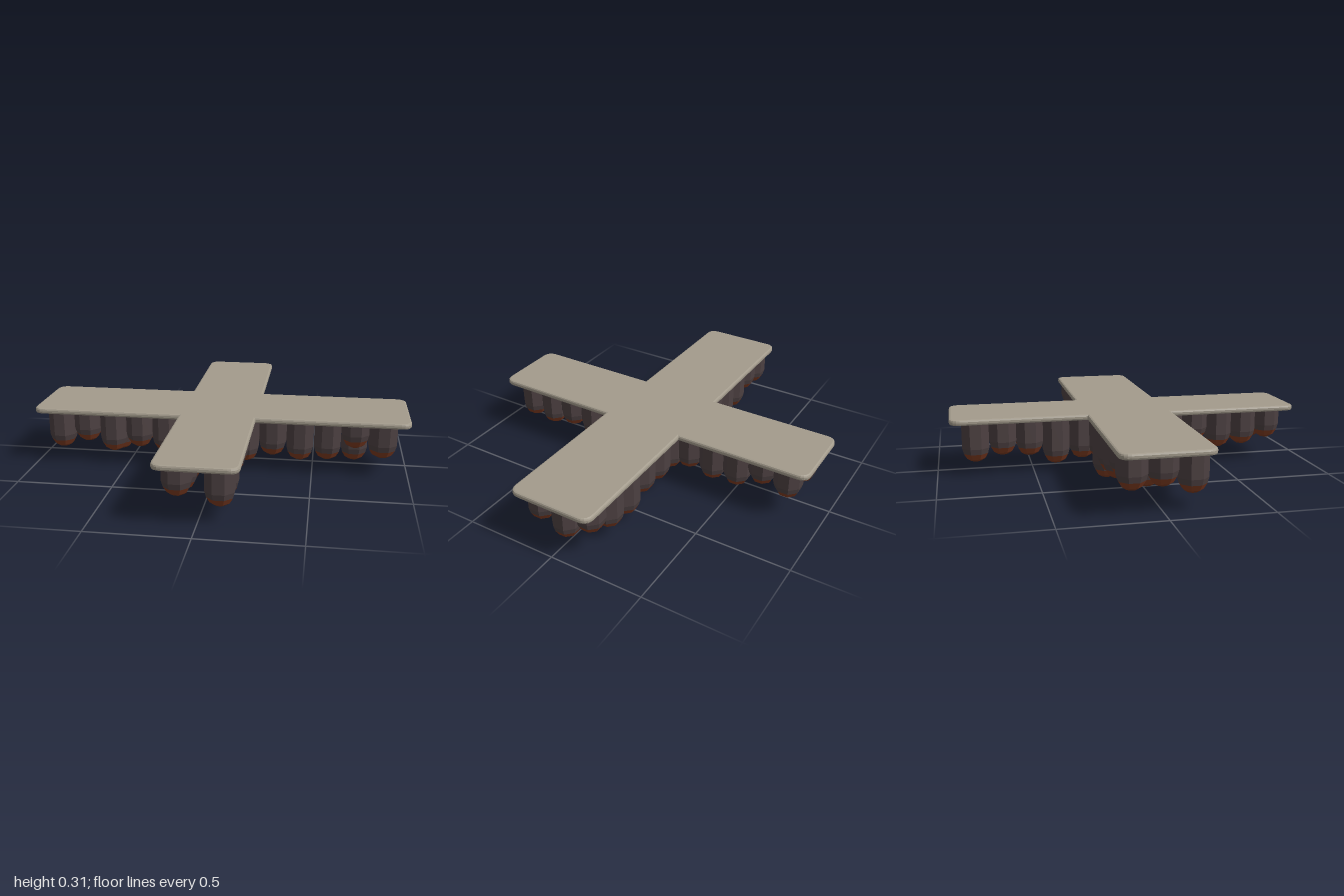
import * as THREE from 'three';

const stone = new THREE.MeshStandardMaterial({ color: 0xa39b8c });
stone.name = 'warm grey stone';
const rock = new THREE.MeshStandardMaterial({ color: 0x4c4041 });
rock.name = 'dark rock';
const ember = new THREE.MeshStandardMaterial({ color: 0x7c3a20 });
ember.name = 'rust tip';

const TOP = 0.31, UNDER = 0.28, SIDES = 8;

// Faceted ring surface from [radius, y] pairs listed bottom to top
function facetedLathe(pairs) {
  const points = pairs.map(([r, y]) => new THREE.Vector2(r, y));
  const g = new THREE.LatheGeometry(points, SIDES, Math.PI / SIDES).toNonIndexed();
  g.computeVertexNormals();
  return g;
}

// Cross outline with rounded outer corners and sharp inner corners
function crossShape(lx, lz, wx, wz, r) {
  const s = new THREE.Shape();
  s.moveTo(lx, -wz + r);
  s.lineTo(lx, wz - r);
  s.quadraticCurveTo(lx, wz, lx - r, wz);
  s.lineTo(wx, wz);
  s.lineTo(wx, lz - r);
  s.quadraticCurveTo(wx, lz, wx - r, lz);
  s.lineTo(-wx + r, lz);
  s.quadraticCurveTo(-wx, lz, -wx, lz - r);
  s.lineTo(-wx, wz);
  s.lineTo(-lx + r, wz);
  s.quadraticCurveTo(-lx, wz, -lx, wz - r);
  s.lineTo(-lx, -wz + r);
  s.quadraticCurveTo(-lx, -wz, -lx + r, -wz);
  s.lineTo(-wx, -wz);
  s.lineTo(-wx, -lz + r);
  s.quadraticCurveTo(-wx, -lz, -wx + r, -lz);
  s.lineTo(wx - r, -lz);
  s.quadraticCurveTo(wx, -lz, wx, -lz + r);
  s.lineTo(wx, -wz);
  s.lineTo(lx - r, -wz);
  s.quadraticCurveTo(lx, -wz, lx, -wz + r);
  return s;
}

// Hanging rock column whose lowest point is at the given height
function makeColumn(x, z, bottom) {
  const column = new THREE.Group();
  column.name = 'hangingColumn';
  const shaft = new THREE.Mesh(
    facetedLathe([[0.067, bottom + 0.045], [0.075, bottom + 0.075], [0.075, UNDER + 0.005]]), rock);
  shaft.name = 'columnShaft';
  const tip = new THREE.Mesh(
    facetedLathe([[0, bottom], [0.028, bottom + 0.002], [0.05, bottom + 0.016], [0.067, bottom + 0.045]]), ember);
  tip.name = 'columnTip';
  column.add(shaft, tip);
  column.position.set(x, 0, z);
  return column;
}

export function createModel() {
  const model = new THREE.Group();
  model.name = 'crossPlatform';

  // Bevelled cross slab
  const bevel = 0.01;
  const slabGeometry = new THREE.ExtrudeGeometry(
    crossShape(1 - bevel, 0.93 - bevel, 0.202 - bevel, 0.225 - bevel, 0.045),
    { depth: TOP - UNDER - 2 * bevel, bevelEnabled: true, bevelThickness: bevel, bevelSize: bevel, bevelSegments: 2, curveSegments: 5 });
  slabGeometry.rotateX(-Math.PI / 2);
  slabGeometry.translate(0, UNDER + bevel, 0);
  const slab = new THREE.Mesh(slabGeometry, stone);
  slab.name = 'crossSlab';
  model.add(slab);

  const columns = new THREE.Group();
  columns.name = 'undersideColumns';
  model.add(columns);

  // Long arms: bottoms of the back, middle and front rows, from -x to +x
  const rows = [
    [0.11, 0.13, 0.08, 0.07, 0.0, 0.06, 0.08, 0.07, 0.08, 0.09, 0.05, 0.07, 0.14],
    [0.12, 0.13, 0.03, 0.09, 0.05, 0.05, 0.04, 0.07, 0.06, 0.08, 0.10, 0.03, 0.05],
    [0.08, 0.12, 0.07, 0.10, 0.08, 0.06, 0.07, 0.05, 0.09, 0.07, 0.08, 0.15, 0.10],
  ];
  rows.forEach((row, j) => row.forEach((bottom, i) =>
    columns.add(makeColumn((i - 6) * 0.144, (j - 1) * 0.142, bottom))));

  // Short arms: two rows each, listed from the end inwards
  const arms = [
    { sign: 1, left: [0.08, 0.07, 0.10, 0.08, 0.07], right: [0.12, 0.09, 0.08, 0.12, 0.05] },
    { sign: -1, left: [0.10, 0.13, 0.07, 0.06, 0.08], right: [0.07, 0.10, 0.09, 0.04, 0.06] },
  ];
  for (const { sign, left, right } of arms) {
    for (let i = 0; i < 5; i++) {
      const z = sign * (0.8 - i * 0.14);
      columns.add(makeColumn(0.1, z, left[i]), makeColumn(-0.1, z, right[i]));
    }
  }
  return model;
}
